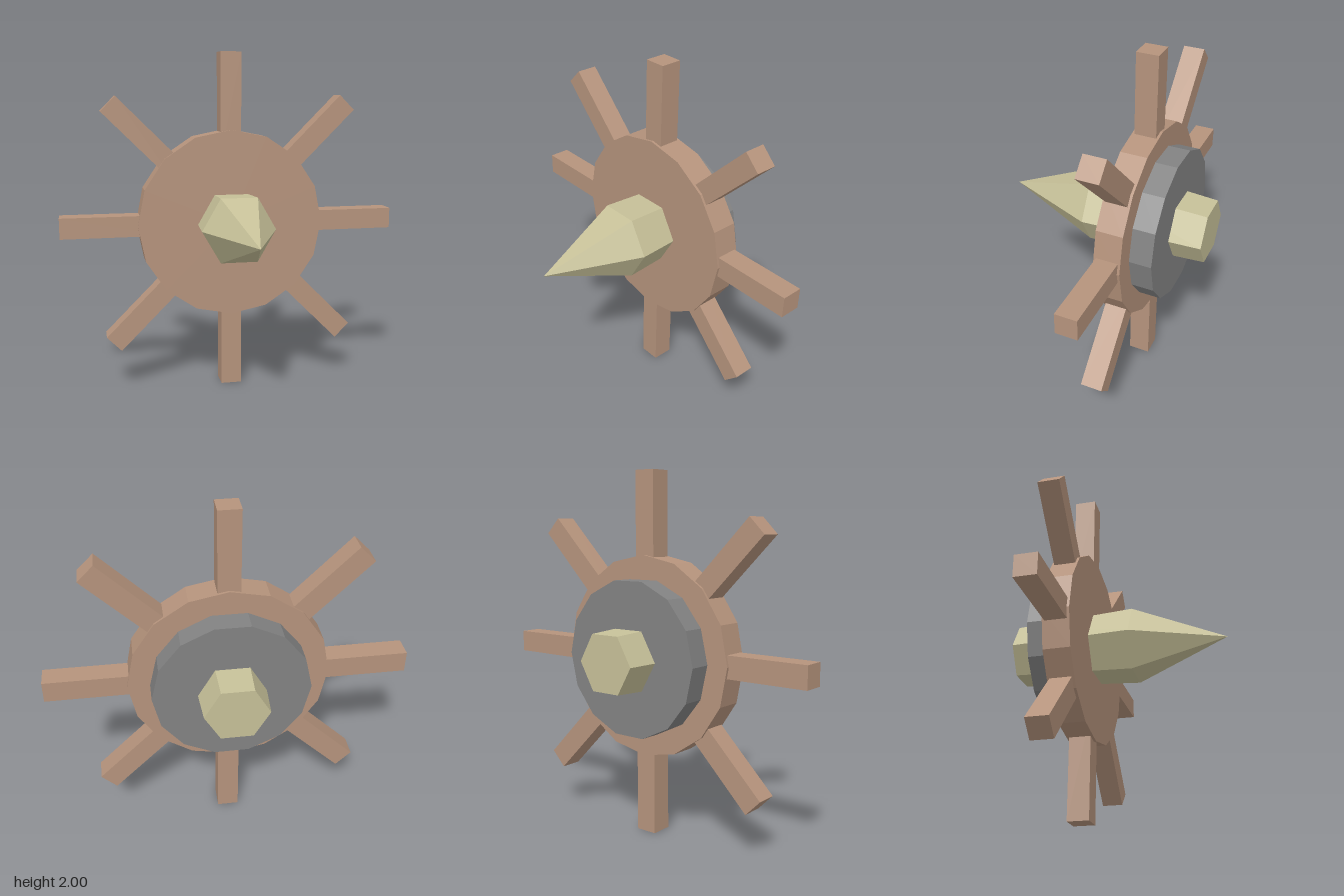
import * as THREE from 'three';

export function createModel() {
  const mat = (name, color) => {
    const m = new THREE.MeshStandardMaterial({ color, flatShading: true });
    m.name = name;
    return m;
  };
  const wood = mat('wood', 0xb5937c);
  const metal = mat('grey metal', 0x828282);
  const bone = mat('pale olive', 0xc6c098);

  const model = new THREE.Group();
  model.name = 'spikedWheel';
  const wheel = new THREE.Group();
  wheel.name = 'wheel';
  wheel.position.y = 1;
  model.add(wheel);

  const add = (name, geometry, material) => {
    const mesh = new THREE.Mesh(geometry, material);
    mesh.name = name;
    wheel.add(mesh);
    return mesh;
  };

  // Prism along z from zBack to zFront; turn spins its corners about the axis
  const prism = (name, rFront, rBack, zFront, zBack, sides, turn, material, open = false) => {
    const g = new THREE.CylinderGeometry(rFront, rBack, zFront - zBack, sides, 1, open);
    g.rotateX(Math.PI / 2).rotateZ(turn);
    g.translate(0, 0, (zFront + zBack) / 2);
    return add(name, g, material);
  };

  // Wooden disc and the metal plate behind it
  prism('disc', 0.553, 0.553, -0.15, -0.3, 16, 0, wood);
  prism('backPlate', 0.43, 0.43, -0.3, -0.425, 14, Math.PI / 2, metal);

  // Six-sided axle, tapering to the back, with a pointed tip in front
  prism('axle', 0.214, 0.175, 0.08, -0.605, 6, Math.PI / 2, bone);
  const tip = new THREE.ConeGeometry(0.214, 0.525, 6, 1, true);
  tip.rotateX(Math.PI / 2).rotateZ(Math.PI / 2).translate(0, 0, 0.3425);
  add('axleTip', tip, bone);

  // Eight square handles around the rim
  for (let i = 0; i < 8; i++) {
    const g = new THREE.BoxGeometry(0.122, 0.6, 0.122);
    g.translate(0, 0.7, -0.225).rotateZ((i * Math.PI) / 4);
    add('handle' + (i + 1), g, wood);
  }
  return model;
}
